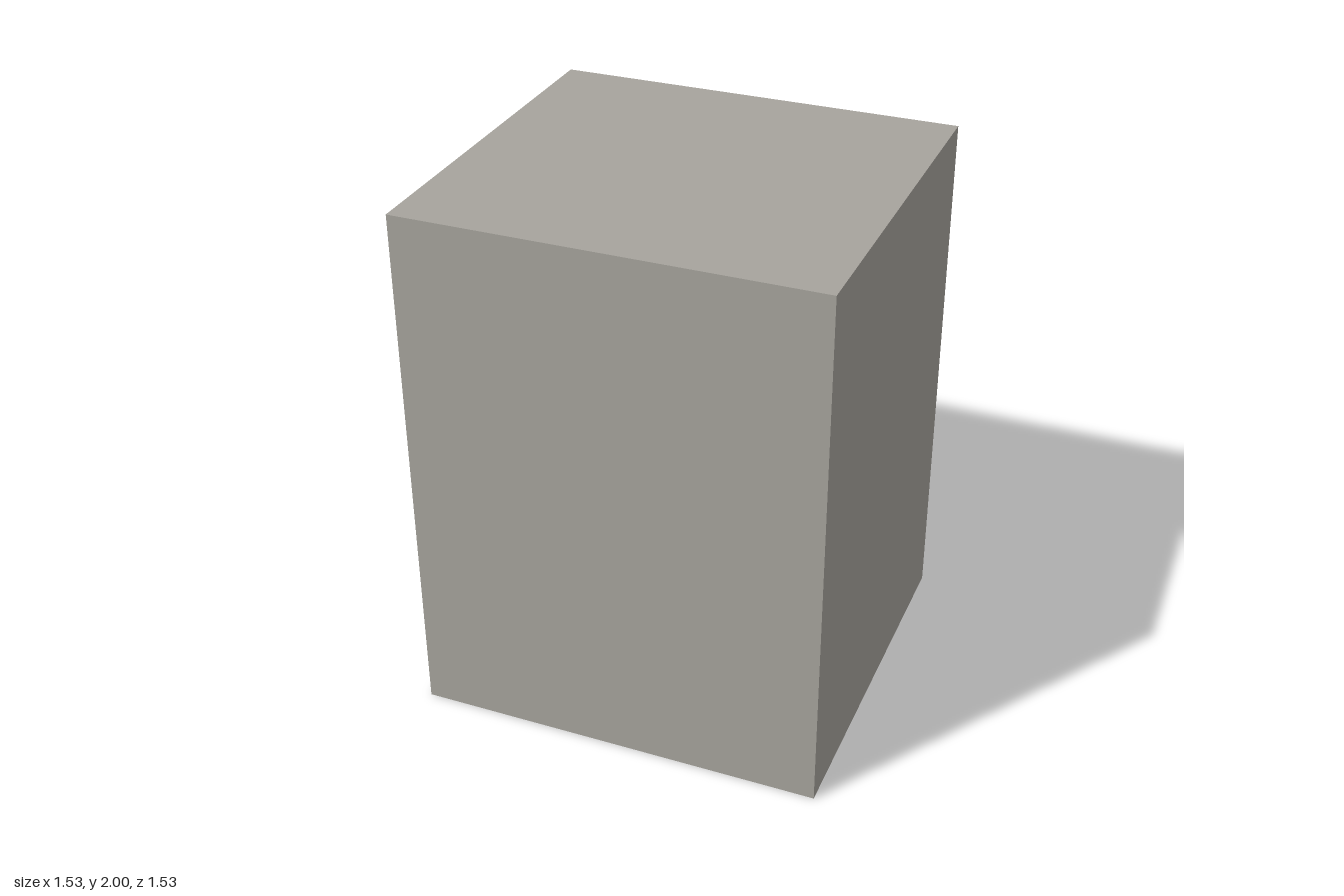
import * as THREE from 'three';

const U = 2 / 17;          // one block of the grid
const BACK = -5.5 * U;     // rear panel plane of the cabinet

const flat = (name, color) => {
  const m = new THREE.MeshStandardMaterial({ color });
  m.name = name;
  return m;
};

export function createModel() {
  const cabinetGrey = flat('cabinet grey', 0xa7a49d);
  const paleGrey = flat('pale trim grey', 0xa8a39f);
  const slate = flat('slate', 0x707678);
  const dark = flat('dark glass', 0x3b484d);
  const brown = flat('hose brown', 0x7a6239);

  const model = new THREE.Group();
  model.name = 'washingMachine';

  // Columns u run from +x to -x, rows v run from the top down
  const xAt = u => (6.5 - u) * U;
  const yAt = v => (17 - v) * U;

  const place = (parent, name, geometry, material, x, y, z) => {
    const mesh = new THREE.Mesh(geometry, material);
    mesh.name = name;
    mesh.position.set(x, y, z);
    parent.add(mesh);
  };

  // Block one unit proud of the panel
  const block = (parent, name, material, u0, v0, u1, v1) =>
    place(parent, name, new THREE.BoxGeometry((u1 - u0) * U, (v1 - v0) * U, U), material,
      xAt((u0 + u1) / 2), yAt((v0 + v1) / 2), BACK - U / 2);

  // Thin rounded plate on the panel
  const plate = (parent, name, material, u0, v0, u1, v1, r) => {
    const w = (u1 - u0) * U / 2, h = (v1 - v0) * U / 2;
    const s = new THREE.Shape();
    s.moveTo(-w + r, -h).lineTo(w - r, -h).quadraticCurveTo(w, -h, w, -h + r)
      .lineTo(w, h - r).quadraticCurveTo(w, h, w - r, h)
      .lineTo(-w + r, h).quadraticCurveTo(-w, h, -w, h - r)
      .lineTo(-w, -h + r).quadraticCurveTo(-w, -h, -w + r, -h);
    const g = new THREE.ExtrudeGeometry(s, { depth: 0.003, bevelEnabled: false, curveSegments: 4 });
    place(parent, name, g, material, xAt((u0 + u1) / 2), yAt((v0 + v1) / 2), BACK - 0.003);
  };

  const group = name => {
    const g = new THREE.Group();
    g.name = name;
    model.add(g);
    return g;
  };

  // Cabinet
  place(model, 'cabinet', new THREE.BoxGeometry(13 * U, 2, 12 * U), cabinetGrey, 0, 1, U / 2);

  // Control knob with dark corner marker
  const knob = group('controlKnob');
  block(knob, 'knobMarker', dark, 2, 2, 3, 3);
  block(knob, 'knobTop', slate, 3, 2, 4, 3);
  block(knob, 'knobBase', slate, 2, 3, 4, 4);

  // Display and lower vent
  plate(model, 'display', dark, 5, 2, 7, 3, 0.04);
  plate(model, 'filterCover', slate, 1, 15, 4, 16, 0.045);

  // Detergent drawer with its finger grip
  const drawer = group('detergentDrawer');
  block(drawer, 'drawerTop', paleGrey, 8, 2, 12, 3);
  block(drawer, 'drawerBottom', paleGrey, 9, 3, 12, 4);
  block(drawer, 'drawerGrip', slate, 8, 3, 9, 4);

  // Round-cornered door: glass, four bars and four corner blocks
  const door = group('door');
  plate(door, 'doorGlass', dark, 3, 6, 10, 13, 0.01);
  for (const v of [5, 13]) block(door, 'doorRail', slate, 4, v, 9, v + 1);
  for (const u of [2, 10]) block(door, 'doorStile', slate, u, 7, u + 1, 12);
  for (const u of [3, 9]) {
    for (const v of [6, 12]) block(door, 'doorCorner', slate, u, v, u + 1, v + 1);
  }
  block(model, 'doorLatch', paleGrey, 1, 8, 2, 10);

  // Drain hose with a foot at the floor
  const hose = group('drainHose');
  block(hose, 'hosePipe', brown, 9, 13, 10, 17);
  block(hose, 'hoseFoot', brown, 10, 16, 11, 17);

  return model;
}
